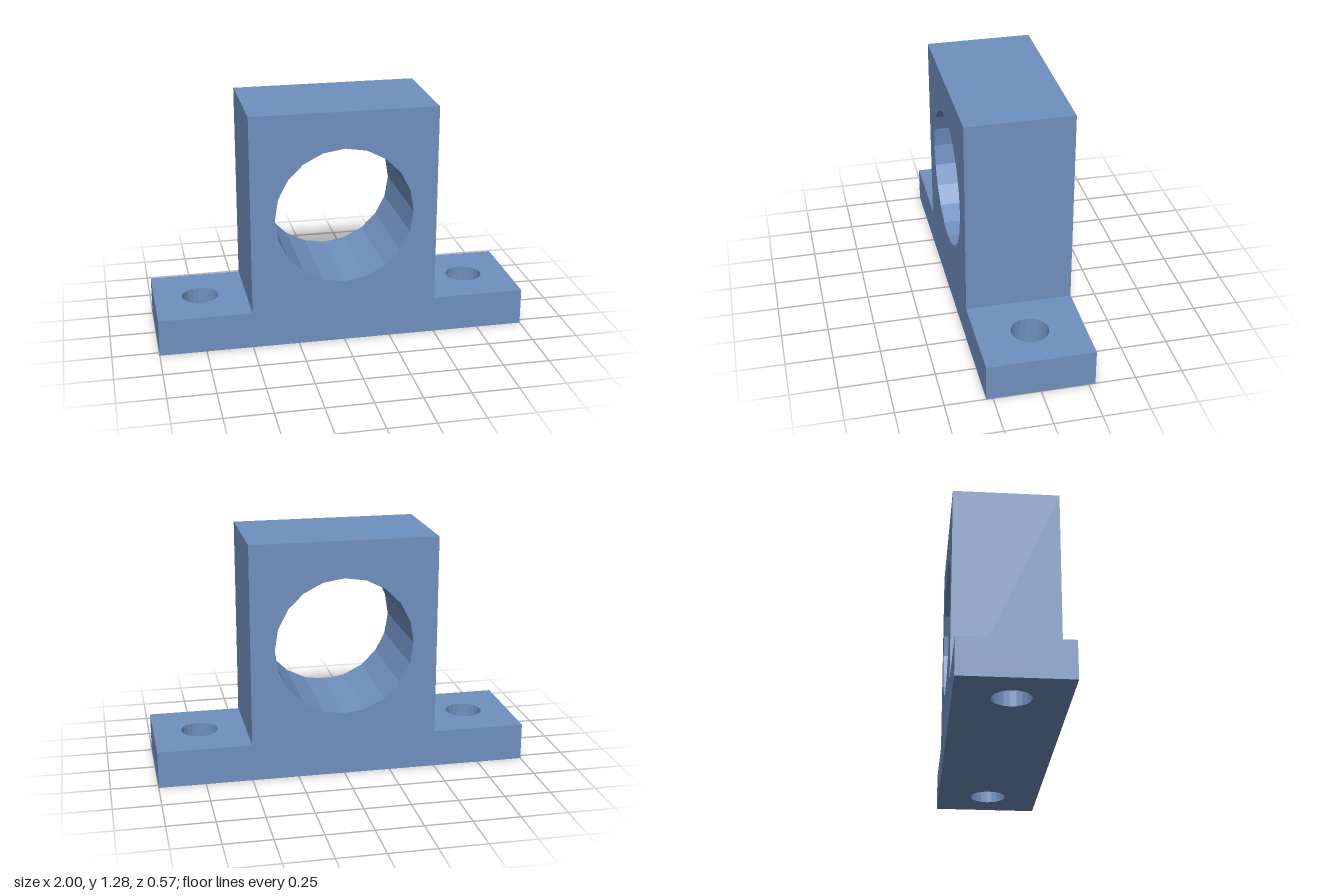
import * as THREE from 'three';

const DEPTH = 0.57, FOOT_HEIGHT = 0.2, HEIGHT = 1.285;
const SIDES = 20;

// Rectangle with one faceted round hole, extruded to a thickness
function drilledPlate(x0, x1, y0, y1, holeX, holeY, radius, thickness) {
  const shape = new THREE.Shape([
    new THREE.Vector2(x0, y0), new THREE.Vector2(x1, y0),
    new THREE.Vector2(x1, y1), new THREE.Vector2(x0, y1),
  ]);
  const ring = [];
  for (let i = 0; i < SIDES; i++) {
    const a = -(i / SIDES) * Math.PI * 2;
    ring.push(new THREE.Vector2(holeX + radius * Math.cos(a), holeY + radius * Math.sin(a)));
  }
  shape.holes.push(new THREE.Path(ring));
  return new THREE.ExtrudeGeometry(shape, { depth: thickness, bevelEnabled: false });
}

export function createModel() {
  const group = new THREE.Group();
  group.name = 'shaftSupport';
  const steelBlue = new THREE.MeshStandardMaterial({ color: 0x7090c0, flatShading: true });
  steelBlue.name = 'steelBlue';

  // Upright block with the shaft bore running front to back
  const blockGeometry = drilledPlate(-0.5, 0.5, 0, HEIGHT, 0, 0.715, 0.372, DEPTH);
  blockGeometry.translate(0, 0, -DEPTH / 2);
  const block = new THREE.Mesh(blockGeometry, steelBlue);
  block.name = 'boreBlock';
  group.add(block);

  // Mounting feet with vertical bolt holes
  for (const side of [-1, 1]) {
    const x = side * 0.75;
    const geometry = drilledPlate(x - 0.25, x + 0.25, -DEPTH / 2, DEPTH / 2, x, 0, 0.1, FOOT_HEIGHT);
    geometry.rotateX(-Math.PI / 2);
    const foot = new THREE.Mesh(geometry, steelBlue);
    foot.name = side > 0 ? 'leftFoot' : 'rightFoot';
    group.add(foot);
  }
  return group;
}
